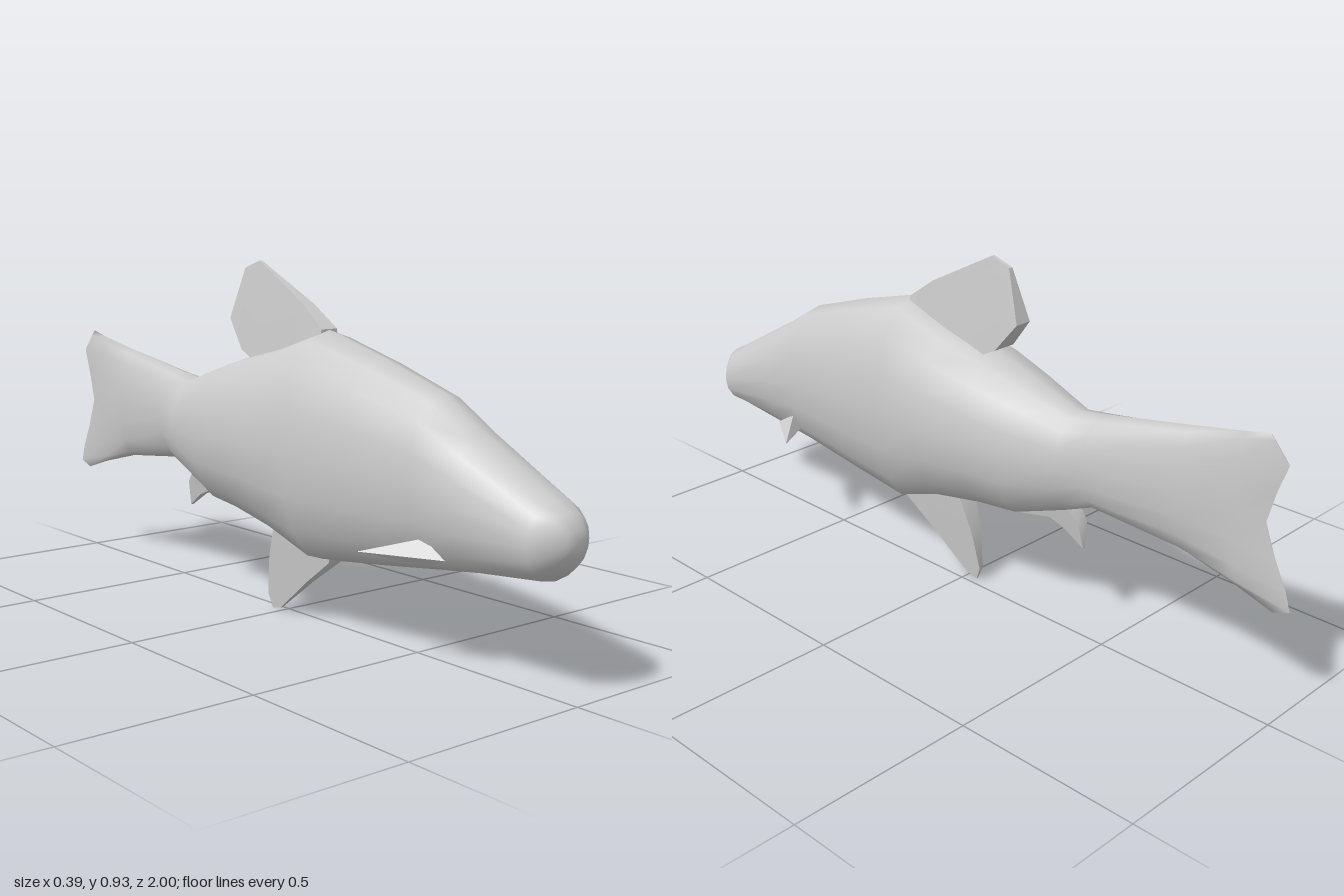
import * as THREE from 'three';
import { toCreasedNormals } from 'three/addons/utils/BufferGeometryUtils.js';
import { ConvexGeometry } from 'three/addons/geometries/ConvexGeometry.js';

const material = new THREE.MeshStandardMaterial({ color: 0xcccccc, side: THREE.DoubleSide });
const SIDES = 16;

// Body stations from snout to tail: z, top y, bottom y, half width, centre x
const STATIONS = [
  [1.0, 0.395, 0.335, 0.035, -0.015],
  [0.98, 0.43, 0.305, 0.06, -0.015],
  [0.94, 0.45, 0.272, 0.097, -0.015],
  [0.72, 0.575, 0.247, 0.107, -0.018],
  [0.6, 0.65, 0.232, 0.116, -0.022],
  [0.4, 0.715, 0.205, 0.138, -0.027],
  [0.2, 0.77, 0.18, 0.156, -0.031],
  [0.05, 0.72, 0.235, 0.167, -0.033],
  [-0.1, 0.685, 0.265, 0.158, -0.033],
  [-0.22, 0.65, 0.275, 0.132, -0.033],
  [-0.37, 0.6, 0.33, 0.09, -0.033],
  [-0.45, 0.612, 0.362, 0.073, -0.035],
  [-0.7, 0.657, 0.335, 0.04, -0.04],
  [-0.85, 0.685, 0.298, 0.02, -0.043],
  [-0.95, 0.7, 0.265, 0.002, -0.045],
];
// Forked trailing edge, z from the upper lobe down to the lower lobe
const TAIL_EDGE = [-0.91, -0.925, -0.965, -0.94, -0.918, -0.95, -0.985, -1.0, -0.955];

function bodyGeometry() {
  const pos = [], index = [];
  STATIONS.forEach(([z, top, bottom, w, cx], i) => {
    for (let j = 0; j < SIDES; j++) {
      const a = (j / SIDES) * Math.PI * 2, s = Math.sin(a);
      const edge = TAIL_EDGE[Math.min(j, SIDES - j)];
      pos.push(
        cx + w * Math.sign(s) * Math.abs(s) ** 0.85,
        (top + bottom) / 2 + ((top - bottom) / 2) * Math.cos(a),
        i === STATIONS.length - 1 ? edge : z,
      );
    }
  });
  for (let i = 0; i < STATIONS.length - 1; i++) {
    for (let j = 0; j < SIDES; j++) {
      const k = (j + 1) % SIDES;
      const a = i * SIDES + j, b = i * SIDES + k;
      index.push(a, b, a + SIDES, b, b + SIDES, a + SIDES);
    }
  }
  // Snout cap
  const tip = pos.length / 3;
  pos.push(-0.015, 0.365, 1.0);
  for (let j = 0; j < SIDES; j++) index.push(tip, (j + 1) % SIDES, j);
  const geometry = new THREE.BufferGeometry();
  geometry.setAttribute('position', new THREE.Float32BufferAttribute(pos, 3));
  geometry.setIndex(index);
  geometry.computeVertexNormals();
  return geometry;
}

// Upright fin from a [z, y] outline, thick at the root and thin at the tip
function medianFin(name, outline, x, rootY, tipY, rootHalf, tipHalf) {
  const shape = new THREE.Shape(outline.map(([z, y]) => new THREE.Vector2(-z, y)));
  const geometry = new THREE.ExtrudeGeometry(shape, { depth: 2, bevelEnabled: false });
  geometry.translate(0, 0, -1).rotateY(Math.PI / 2);
  const p = geometry.attributes.position;
  for (let i = 0; i < p.count; i++) {
    const t = THREE.MathUtils.clamp((p.getY(i) - rootY) / (tipY - rootY), 0, 1);
    p.setX(i, x + p.getX(i) * THREE.MathUtils.lerp(rootHalf, tipHalf, t));
  }
  const mesh = new THREE.Mesh(toCreasedNormals(geometry, 0.7), material);
  mesh.name = name;
  return mesh;
}

// Small spike-shaped side fin
function sideFin(name, rootX, tip) {
  const root = [[0.7, 0.285], [0.63, 0.325], [0.6, 0.29], [0.64, 0.262]];
  const points = root.map(([z, y]) => new THREE.Vector3(rootX, y, z));
  points.push(new THREE.Vector3(...tip));
  const mesh = new THREE.Mesh(new ConvexGeometry(points), material);
  mesh.name = name;
  return mesh;
}

export function createModel() {
  const group = new THREE.Group();
  group.name = 'fish';

  const body = new THREE.Mesh(bodyGeometry(), material);
  body.name = 'bodyAndTail';
  group.add(body);

  group.add(medianFin('dorsalFin', [
    [0.2, 0.74], [0.2, 0.772], [0.12, 0.83], [-0.08, 0.935], [-0.14, 0.915],
    [-0.185, 0.78], [-0.12, 0.7], [-0.07, 0.675], [0.0, 0.66],
  ], -0.031, 0.7, 0.93, 0.035, 0.004));

  group.add(medianFin('pelvicFin', [
    [0.23, 0.2], [0.22, 0.177], [0.12, 0.105], [0.0, 0.01], [-0.035, 0.002],
    [-0.05, 0.04], [-0.03, 0.15], [0.0, 0.235], [0.02, 0.27],
  ], -0.025, 0.25, 0.0, 0.03, 0.002));

  group.add(medianFin('analFin', [
    [-0.17, 0.3], [-0.195, 0.262], [-0.3, 0.287], [-0.35, 0.268],
    [-0.405, 0.23], [-0.397, 0.3], [-0.36, 0.345],
  ], -0.033, 0.34, 0.23, 0.025, 0.004));

  group.add(sideFin('leftPectoralFin', 0.07, [0.19, 0.305, 0.515]));
  group.add(sideFin('rightPectoralFin', -0.11, [-0.19, 0.28, 0.49]));
  return group;
}
